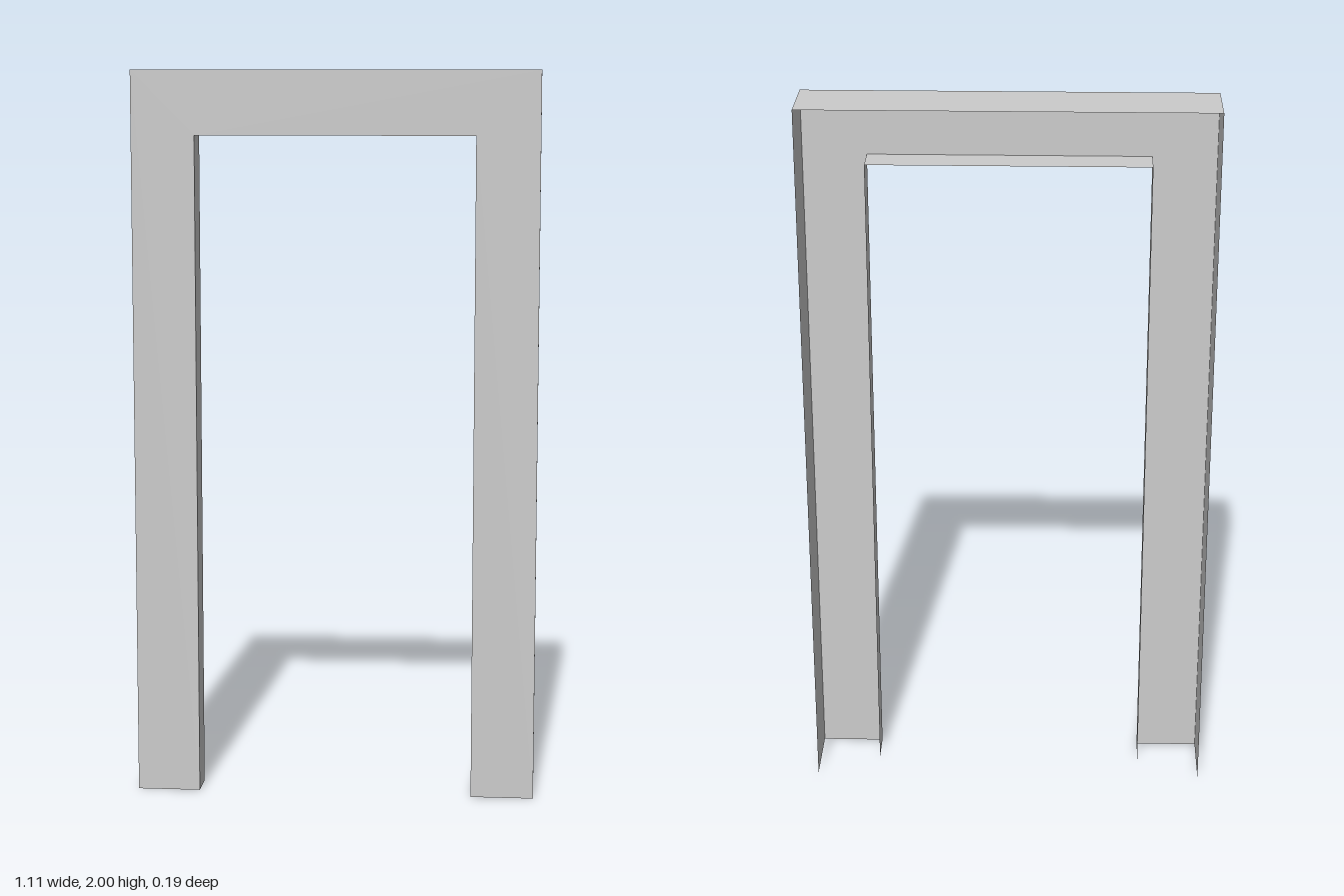
import * as THREE from 'three';

const W = 0.553, H = 2;            // outer half width and height
const IW = 0.38, IH = 1.825;       // opening half width and height
const FRONT = 0.093, DEPTH = 0.186, REVEAL = 0.094;

export function createModel() {
  const group = new THREE.Group();
  group.name = 'doorFrame';
  const material = new THREE.MeshStandardMaterial({ color: 0xcccccc, side: THREE.DoubleSide, flatShading: true });

  const add = (name, geometry, x, y, z) => {
    const mesh = new THREE.Mesh(geometry, material);
    mesh.name = name;
    mesh.position.set(x, y, z);
    group.add(mesh);
  };

  // Front casing: two legs joined by a head
  const casing = new THREE.Shape([
    [-W, 0], [-IW, 0], [-IW, IH], [IW, IH], [IW, 0], [W, 0], [W, H], [-W, H],
  ].map(([x, y]) => new THREE.Vector2(x, y)));
  add('frontCasing', new THREE.ShapeGeometry(casing), 0, 0, FRONT);

  // Thin walls running back from the casing: two sides and a top, open at the foot and back
  const addWalls = (prefix, halfWidth, height, depth, outward) => {
    const z = FRONT - depth / 2;
    for (const side of [-1, 1]) {
      const wall = new THREE.PlaneGeometry(depth, height).rotateY(side * outward * Math.PI / 2);
      add(prefix + (side > 0 ? 'LeftWall' : 'RightWall'), wall, side * halfWidth, height / 2, z);
    }
    const top = new THREE.PlaneGeometry(halfWidth * 2, depth).rotateX(-outward * Math.PI / 2);
    add(prefix + 'TopWall', top, 0, height, z);
  };
  addWalls('outer', W, H, DEPTH, 1);
  addWalls('reveal', IW, IH, REVEAL, -1);

  // The frame stands very slightly turned
  group.rotation.y = 0.008;
  return group;
}
